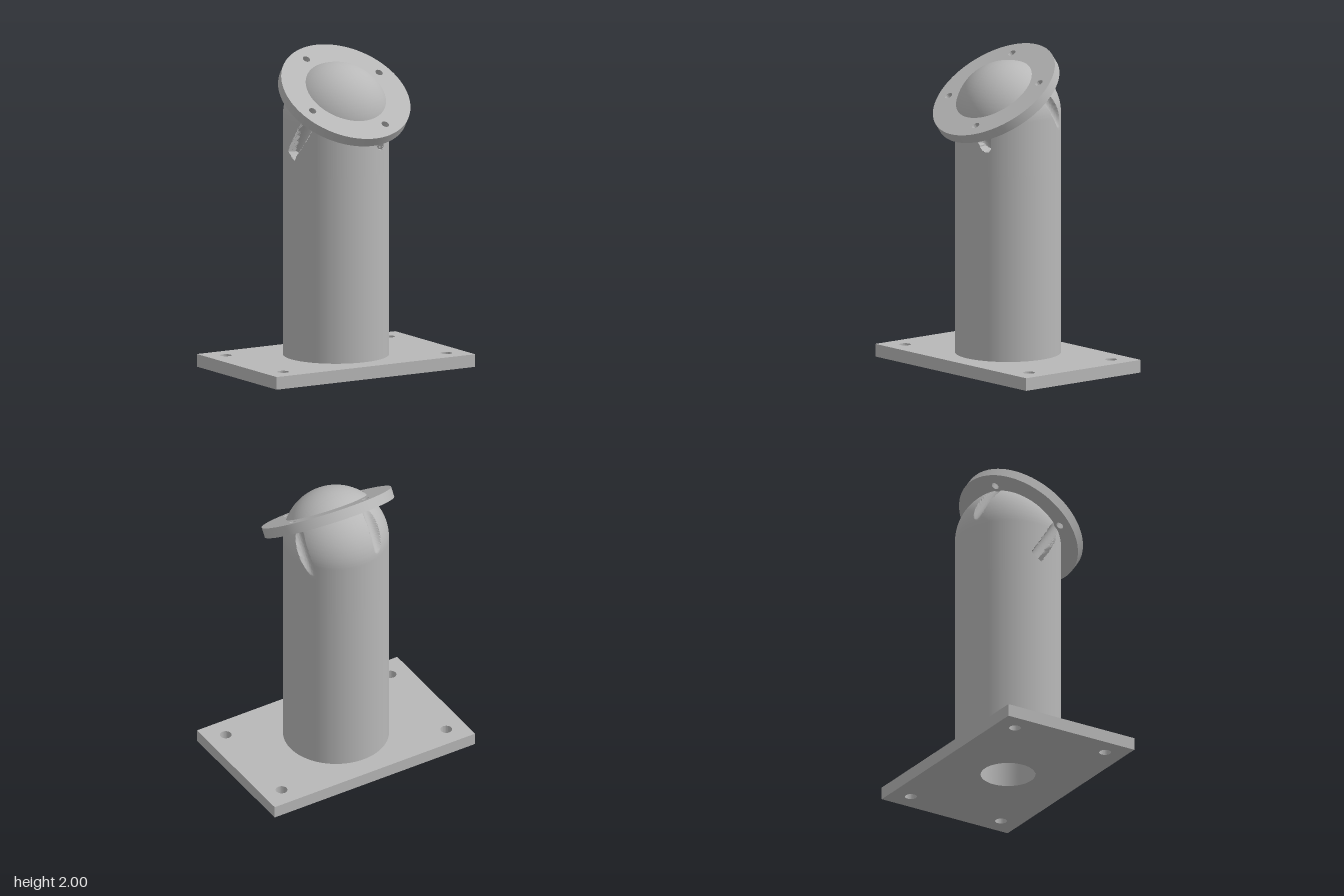
import * as THREE from 'three';
import { toCreasedNormals } from 'three/addons/utils/BufferGeometryUtils.js';

const R = 0.33;            // column and dome radius
const CY = 1.595;          // dome centre height
const PLATE = 0.08;        // base plate thickness
const BORE = 0.17;         // inner bore radius
const TILT = THREE.MathUtils.degToRad(35);
const SIN = Math.sin(TILT), COS = Math.cos(TILT);

// Bolt positions on the tilted flange
const BOLTS = [0, 1, 2, 3].map((k) => {
  const a = Math.PI / 8 + (k * Math.PI) / 2;
  return [0.337 * Math.cos(a), 0.337 * Math.sin(a)];
});

function circleHole(shape, x, y, r) {
  const p = new THREE.Path();
  p.absarc(x, y, r, 0, Math.PI * 2, true);
  shape.holes.push(p);
}

function extrude(shape, depth) {
  const g = new THREE.ExtrudeGeometry(shape, { depth, bevelEnabled: false, curveSegments: 48 });
  return toCreasedNormals(g, 0.5);
}

// Pulls surface points lying in a bolt clearance back to the clearance's inner wall
function cutClearances(geometry) {
  const r = 0.043, top = 0.15, floor = -0.185;
  const pos = geometry.attributes.position;
  for (let i = 0; i < pos.count; i++) {
    const x = pos.getX(i), y = pos.getY(i) - CY, z = pos.getZ(i);
    const w = y * COS + z * SIN;
    if (w > top || w < floor) continue;
    const oy = Math.min(y, 0);          // ray starts on the column axis
    const dx = x, dy = y - oy, dz = z;  // and reaches the surface at t = 1
    for (const [hx, hv] of BOLTS) {
      const a = x - hx, b = y * SIN - z * COS - hv;
      if (a * a + b * b >= r * r) continue;
      const oa = -hx, ob = oy * SIN - hv, db = dy * SIN - dz * COS;
      const A = dx * dx + db * db, B = oa * dx + ob * db, C = oa * oa + ob * ob - r * r;
      const t = (-B - Math.sqrt(Math.max(0, B * B - A * C))) / A;
      if (t > 0 && t < 1) pos.setXYZ(i, dx * t, CY + oy + dy * t, dz * t);
    }
  }
  return toCreasedNormals(geometry, 0.5);
}

export function createModel() {
  const model = new THREE.Group();
  const steel = new THREE.MeshStandardMaterial({ color: 0xb8b8b8, side: THREE.DoubleSide });
  steel.name = 'grey steel';
  const add = (name, geometry) => {
    const mesh = new THREE.Mesh(geometry, steel);
    mesh.name = name;
    model.add(mesh);
    return mesh;
  };

  // Base plate with four corner holes and a central bore
  const plate = new THREE.Shape([[-0.73, -0.465], [0.73, -0.465], [0.73, 0.465], [-0.73, 0.465]]
    .map(([x, y]) => new THREE.Vector2(x, y)));
  for (const sx of [-1, 1]) for (const sy of [-1, 1]) circleHole(plate, sx * 0.6, sy * 0.333, 0.037);
  circleHole(plate, 0, 0, BORE);
  add('basePlate', extrude(plate, PLATE).rotateX(-Math.PI / 2));

  // Plain lower column
  const split = 1.25;
  const column = new THREE.CylinderGeometry(R, R, split - PLATE, 320, 1, true);
  add('column', column.translate(0, (split + PLATE) / 2, 0));

  // Column top and dome, cut by the bolt clearances
  const profile = [];
  for (let i = 0; i < 45; i++) profile.push(new THREE.Vector2(R, split + ((CY - split) * i) / 45));
  for (let i = 0; i <= 64; i++) {
    const a = (i / 64) * Math.PI / 2;
    profile.push(new THREE.Vector2(i === 64 ? 0 : R * Math.cos(a), CY + R * Math.sin(a)));
  }
  add('domedTop', cutClearances(new THREE.LatheGeometry(profile, 320)));

  // Inner bore with a rounded end, facing inwards
  const bore = [];
  for (let i = 16; i >= 0; i--) {
    const a = (i / 16) * Math.PI / 2;
    bore.push(new THREE.Vector2(i === 16 ? 0 : BORE * Math.cos(a), CY + BORE * Math.sin(a)));
  }
  bore.push(new THREE.Vector2(BORE, 0));
  add('innerBore', new THREE.LatheGeometry(bore, 64));

  // Tilted flange ring around the dome
  const ring = new THREE.Shape();
  ring.absarc(0, 0, 0.4225, 0, Math.PI * 2, false);
  circleHole(ring, 0, 0, 0.25);
  for (const [x, y] of BOLTS) circleHole(ring, x, y, 0.024);
  const flange = add('flange', extrude(ring, 0.065));
  flange.rotation.x = TILT - Math.PI / 2;
  flange.position.set(0, CY + 0.135 * COS, 0.135 * SIN);

  return model;
}
